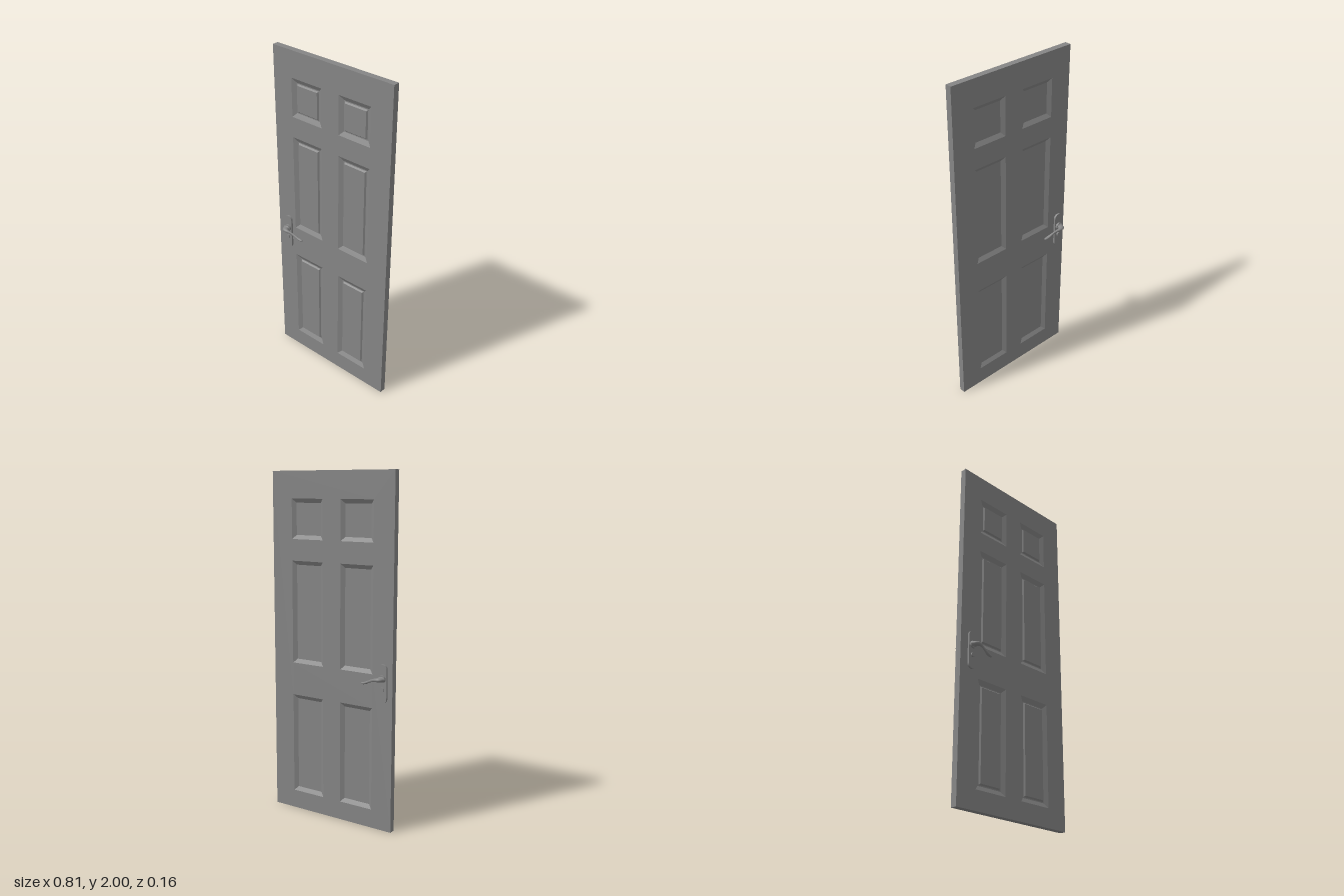
import * as THREE from 'three';

const material = new THREE.MeshStandardMaterial({ color: 0x858585 });
const flatMaterial = new THREE.MeshStandardMaterial({ color: 0x858585, flatShading: true });

const FRONT = 0.019, BACK = -0.018; // door faces
const COLUMNS = [-0.169, 0.164];
const PANEL_WIDTH = 0.214;
const ROWS = [[0.109, 0.706], [0.899, 1.496], [1.619, 1.846]];

function addMesh(parent, name, geometry, mat = material) {
  const mesh = new THREE.Mesh(geometry, mat);
  mesh.name = name;
  parent.add(mesh);
  return mesh;
}

// Closed skin over a list of rings (arrays of Vector3 with equal length)
function loft(rings) {
  const n = rings[0].length, pos = [], index = [];
  rings.forEach(r => r.forEach(p => pos.push(p.x, p.y, p.z)));
  for (let j = 0; j < rings.length - 1; j++) {
    for (let i = 0; i < n; i++) {
      const k = (i + 1) % n, a = j * n, b = a + n;
      index.push(a + i, b + i, b + k, a + i, b + k, a + k);
    }
  }
  const last = (rings.length - 1) * n;
  for (let i = 1; i < n - 1; i++) {
    index.push(0, i, i + 1, last, last + i + 1, last + i);
  }
  const g = new THREE.BufferGeometry();
  g.setAttribute('position', new THREE.Float32BufferAttribute(pos, 3));
  g.setIndex(index);
  g.computeVertexNormals();
  return g;
}

// Door slab with six openings
function doorFrame() {
  const shape = new THREE.Shape([[-0.405, 0], [0.405, 0], [0.405, 2], [-0.405, 2]]
    .map(p => new THREE.Vector2(...p)));
  for (const x of COLUMNS) for (const [y0, y1] of ROWS) {
    const a = x - PANEL_WIDTH / 2, b = x + PANEL_WIDTH / 2;
    shape.holes.push(new THREE.Path([[a, y0], [a, y1], [b, y1], [b, y0]]
      .map(p => new THREE.Vector2(...p))));
  }
  const g = new THREE.ExtrudeGeometry(shape, { depth: FRONT - BACK, bevelEnabled: false });
  return g.translate(0, 0, BACK);
}

// Panel: raised field in front, plain sunk field behind
function panelGeometry(height) {
  const profile = [ // inset from the opening, z
    [0.038, 0.013], [0.031, 0.005], [0.025, 0.005], [0, FRONT],
    [0, BACK], [0.023, -0.003],
  ];
  const corners = [[-1, -1], [1, -1], [1, 1], [-1, 1]];
  return loft(profile.map(([inset, z]) => corners.map(([sx, sy]) => new THREE.Vector3(
    sx * (PANEL_WIDTH / 2 - inset), sy * (height / 2 - inset), z))));
}

// Curved lever: elliptical sections along a smooth path
function leverGeometry() {
  const stations = [ // x, y, z, side radius, vertical radius
    [0, 0, 0.036, 0.0195, 0.013],
    [0, 0, 0.047, 0.0195, 0.013],
    [0.006, 0, 0.0595, 0.018, 0.012],
    [0.022, -0.002, 0.0645, 0.0105, 0.01],
    [0.037, -0.005, 0.062, 0.007, 0.0085],
    [0.055, -0.011, 0.0575, 0.0055, 0.0075],
    [0.075, -0.02, 0.0525, 0.007, 0.007],
    [0.095, -0.029, 0.048, 0.0095, 0.007],
    [0.113, -0.034, 0.046, 0.009, 0.0065],
    [0.123, -0.035, 0.0455, 0.006, 0.0045],
    [0.127, -0.036, 0.0455, 0.001, 0.001],
  ];
  const path = new THREE.CatmullRomCurve3(stations.map(s => new THREE.Vector3(s[0], s[1], s[2])));
  const radii = new THREE.CatmullRomCurve3(stations.map(s => new THREE.Vector3(s[3], s[4], 0)));
  const up = new THREE.Vector3(0, 1, 0), steps = 40, sides = 20, rings = [];
  for (let j = 0; j <= steps; j++) {
    const p = path.getPoint(j / steps), t = path.getTangent(j / steps), r = radii.getPoint(j / steps);
    const side = new THREE.Vector3().crossVectors(up, t).normalize();
    const rise = new THREE.Vector3().crossVectors(t, side);
    rings.push(Array.from({ length: sides }, (_, i) => {
      const a = i / sides * Math.PI * 2;
      return p.clone().addScaledVector(side, Math.cos(a) * r.x).addScaledVector(rise, Math.sin(a) * r.y);
    }));
  }
  // rings run away from the first cap, so reverse them for outward faces
  return loft(rings.reverse());
}

function disc(radius, z0, z1, y = 0) {
  return new THREE.CylinderGeometry(radius, radius, z1 - z0, 32)
    .rotateX(Math.PI / 2).translate(0, y, (z0 + z1) / 2);
}

// Handle set for the front face, origin on the lever axis
function handleSet() {
  const group = new THREE.Group();
  const r = 0.0265, top = 0.08 - r, bottom = -0.138 + r;
  const plate = new THREE.Shape();
  plate.absarc(0, top, r, 0, Math.PI);
  plate.absarc(0, bottom, r, Math.PI, Math.PI * 2);
  plate.closePath();
  addMesh(group, 'backPlate', new THREE.ExtrudeGeometry(plate,
    { depth: 0.011, bevelEnabled: false, curveSegments: 20 }).translate(0, 0, 0.019));
  addMesh(group, 'spindle', disc(0.016, 0.005, 0.025));
  addMesh(group, 'rose', disc(0.021, 0.029, 0.041));
  addMesh(group, 'lever', leverGeometry());
  addMesh(group, 'lockCylinder', disc(0.0125, 0.029, 0.038, -0.06));
  addMesh(group, 'keySlot', new THREE.BoxGeometry(0.003, 0.012, 0.002).translate(0, -0.06, 0.038));
  return group;
}

export function createModel() {
  const model = new THREE.Group();
  model.name = 'panelDoor';
  addMesh(model, 'doorFrame', doorFrame(), flatMaterial);

  for (const x of COLUMNS) for (const [y0, y1] of ROWS) {
    addMesh(model, 'panel', panelGeometry(y1 - y0), flatMaterial).position.set(x, (y0 + y1) / 2, 0);
  }

  const front = handleSet();
  front.name = 'frontHandle';
  front.position.set(-0.327, 0.884, 0);
  const back = handleSet();
  back.name = 'backHandle';
  back.scale.z = -1;
  back.position.set(-0.349, 0.884, -0.002);
  model.add(front, back);
  return model;
}
